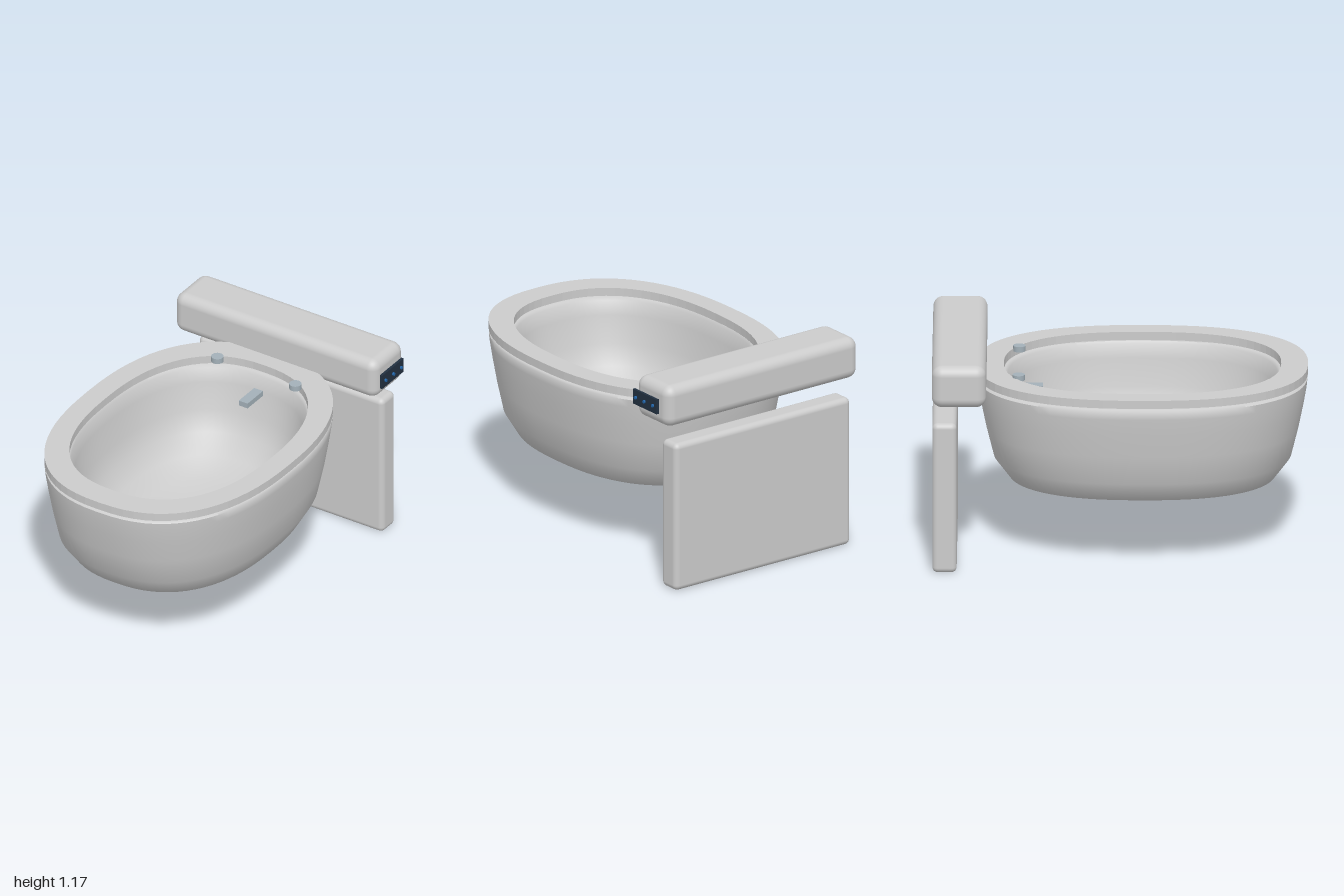
import * as THREE from 'three';
import { toCreasedNormals } from 'three/addons/utils/BufferGeometryUtils.js';
import { RoundedBoxGeometry } from 'three/addons/geometries/RoundedBoxGeometry.js';

const CX = -0.018, CZ = 0.117; // centre of the bowl
const HALF_X = 0.648, HALF_Z = 0.881; // half sizes of the rim
const SEGMENTS = 72;

// Points round a superellipse
function oval(hx, hz, power = 2.4, count = SEGMENTS) {
  const bend = (v) => Math.sign(v) * Math.abs(v) ** (2 / power);
  return Array.from({ length: count }, (_, i) => {
    const a = (i / count) * Math.PI * 2;
    return new THREE.Vector2(hx * bend(Math.cos(a)), hz * bend(Math.sin(a)));
  });
}

// Oval skin through [scale, height] rings, from the underside over the rim to the inner floor
function ovalLoft(profile) {
  const ring = oval(HALF_X, HALF_Z);
  const positions = [], index = [];
  profile.forEach(([s, y]) => ring.forEach((p) => positions.push(p.x * s, y, p.y * s)));
  for (let r = 0; r < profile.length - 1; r++) {
    for (let i = 0; i < SEGMENTS; i++) {
      const j = (i + 1) % SEGMENTS;
      const a = r * SEGMENTS + i, b = r * SEGMENTS + j;
      const c = a + SEGMENTS, d = b + SEGMENTS;
      if (profile[r + 1][0] > 0) index.push(a, c, d);
      else index.push(a, c, b);
      if (profile[r][0] > 0 && profile[r + 1][0] > 0) index.push(a, d, b);
    }
  }
  const geometry = new THREE.BufferGeometry();
  geometry.setAttribute('position', new THREE.Float32BufferAttribute(positions, 3));
  geometry.setIndex(index);
  return toCreasedNormals(geometry, 0.9);
}

export function createModel() {
  const model = new THREE.Group();
  model.name = 'wallHungToilet';
  const paint = (color) => new THREE.MeshStandardMaterial({ color });
  const grey = paint(0xcccccc), metal = paint(0xa3b0b8);
  const dark = paint(0x223040), blue = paint(0x2266aa), teal = paint(0xaed4d6);

  const add = (name, geometry, material, x, y, z) => {
    const mesh = new THREE.Mesh(geometry, material);
    mesh.name = name;
    mesh.position.set(x, y, z);
    model.add(mesh);
    return mesh;
  };

  // Bowl: outer shell, rim and hollow inside
  add('bowl', ovalLoft([
    [0, 0.34], [0.35, 0.348], [0.655, 0.36], [0.81, 0.393], [0.9, 0.5],
    [0.945, 0.66], [0.975, 0.79], [0.993, 0.88], [0.998, 0.925], [0.985, 0.934], [0.94, 0.938],
    [0.83, 0.938], [0.815, 0.925], [0.79, 0.85], [0.75, 0.7], [0.69, 0.59],
    [0.58, 0.5], [0.42, 0.44], [0.2, 0.412], [0, 0.4],
  ]), grey, CX, 0, CZ);

  // Water at the drain
  const water = new THREE.ShapeGeometry(new THREE.Shape(oval(0.07, 0.076, 3.2, 32)));
  water.rotateX(-Math.PI / 2);
  add('water', water, teal, CX, 0.415, 0.098);

  // Flat seat ring
  const ring = new THREE.Shape(oval(HALF_X, HALF_Z));
  ring.holes.push(new THREE.Path(oval(0.53, 0.738).reverse()));
  const seat = new THREE.ExtrudeGeometry(ring, { depth: 0.045, bevelEnabled: false });
  seat.rotateX(Math.PI / 2);
  add('seat', seat, grey, CX, 0.99, CZ);

  // Seat hinge caps
  for (const side of [-1, 1]) {
    add('hingeCap', new THREE.CylinderGeometry(0.033, 0.033, 0.03, 24), metal, CX + side * 0.248, 0.991, -0.54);
  }

  // Spray nozzle at the back of the bowl
  add('nozzle', new THREE.BoxGeometry(0.056, 0.03, 0.15), metal, CX, 0.855, -0.487);

  // Cistern and wall plate
  add('cistern', new RoundedBoxGeometry(1.285, 0.232, 0.288, 4, 0.055), grey, CX, 1.052, -0.856);
  add('wallPlate', new RoundedBoxGeometry(1.175, 0.835, 0.13, 4, 0.03), grey, CX, 0.418, -0.933);

  // Control panel with three buttons
  add('controlPanel', new THREE.BoxGeometry(0.015, 0.083, 0.208), dark, 0.648, 1.057, -0.838);
  for (const i of [-1, 0, 1]) {
    const button = add('button', new THREE.CylinderGeometry(0.009, 0.009, 0.012, 12), blue, 0.659, 1.057, -0.838 + i * 0.075);
    button.rotation.z = Math.PI / 2;
  }
  return model;
}
